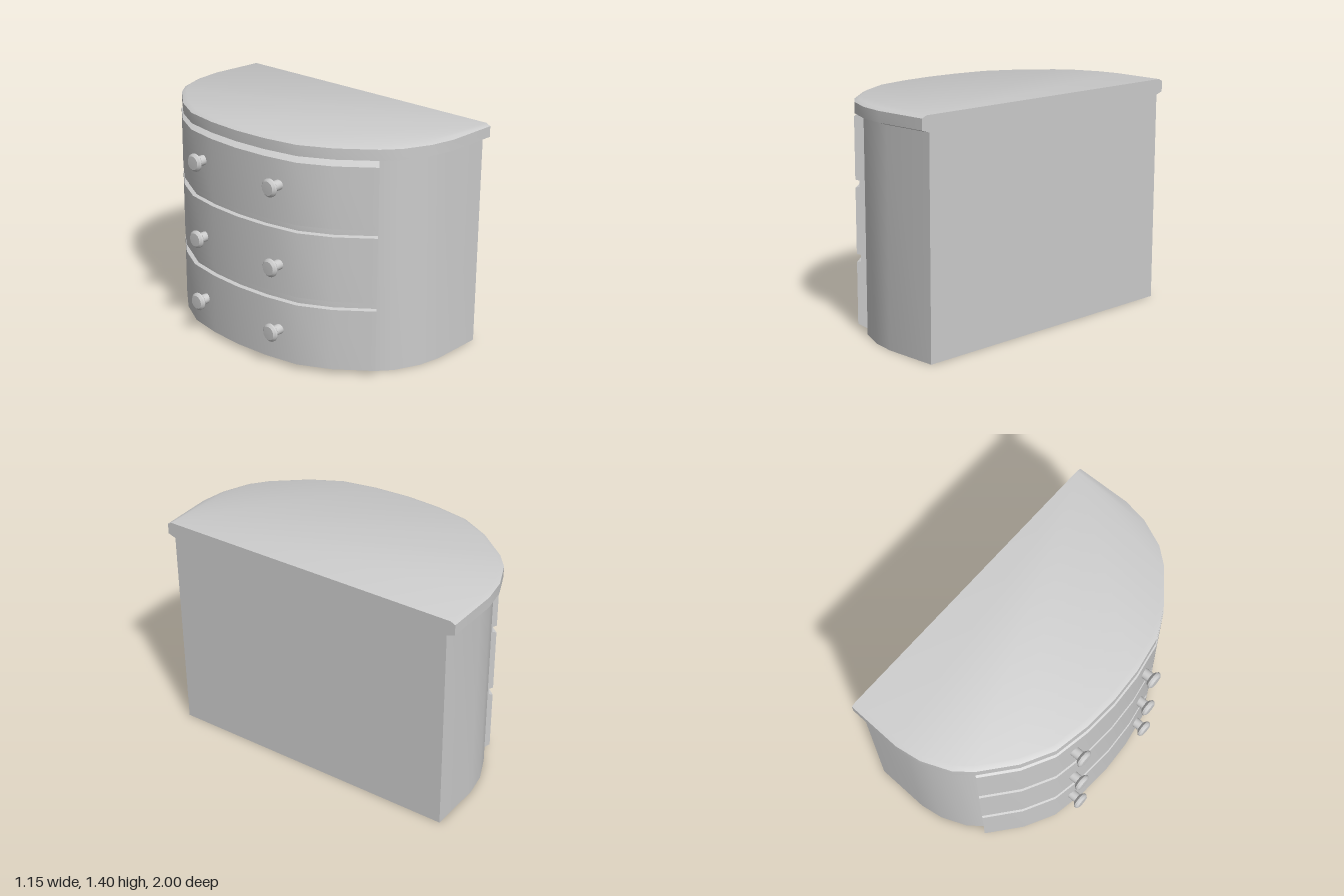
import * as THREE from 'three';
import { toCreasedNormals } from 'three/addons/utils/BufferGeometryUtils.js';

const BACK = 0.575;
// Half of the D-shaped plan as [x, z], from the flat back round to the bowed front
const half = [[BACK, 0.99], [0.23, 1], [0.07, 0.975], [-0.1, 0.905], [-0.2, 0.825],
  [-0.36, 0.63], [-0.46, 0.44], [-0.5, 0.22]];
const plan = [...half, [-0.513, 0], ...half.map(([x, z]) => [x, -z]).reverse()];

// Plan moved inwards along its normals, keeping the back flat
function inset(d) {
  const last = plan.length - 1;
  return plan.map(([x, z], i) => {
    if (i === 0 || i === last) return [x, z - Math.sign(z) * d];
    const [ax, az] = plan[i - 1], [bx, bz] = plan[i + 1];
    const tx = bx - ax, tz = bz - az, len = Math.hypot(tx, tz);
    return [x - (tz / len) * d, z + (tx / len) * d];
  });
}

// Skin between stacked rows of [x, y, z] points, listed bottom to top
function skin(rows, closed) {
  const out = [], n = rows[0].length;
  for (let j = 0; j < rows.length - 1; j++) {
    for (let i = 0; i < (closed ? n : n - 1); i++) {
      const k = (i + 1) % n;
      const a = rows[j][i], b = rows[j][k], c = rows[j + 1][k], d = rows[j + 1][i];
      out.push(...a, ...d, ...c, ...a, ...c, ...b);
    }
  }
  if (closed) {
    const lo = rows[0], hi = rows[rows.length - 1];
    for (let i = 1; i < n - 1; i++) {
      out.push(...lo[0], ...lo[i], ...lo[i + 1], ...hi[0], ...hi[i + 1], ...hi[i]);
    }
  }
  const geo = new THREE.BufferGeometry();
  geo.setAttribute('position', new THREE.Float32BufferAttribute(out, 3));
  return toCreasedNormals(geo, 0.5);
}

const ring = (y, d) => inset(d).map(([x, z]) => [x, y, z]);

export function createModel() {
  const group = new THREE.Group();
  const material = new THREE.MeshStandardMaterial({ color: 0xcccccc });
  const add = (name, geometry, mat = material) => {
    const mesh = new THREE.Mesh(geometry, mat);
    mesh.name = name;
    group.add(mesh);
    return mesh;
  };

  // Carcass and bevelled top
  const bodyInset = 0.05;
  add('body', skin([ring(0, bodyInset), ring(1.31, bodyInset)], true));
  add('top', skin([ring(1.303, 0.045), ring(1.318, 0), ring(1.383, 0), ring(1.397, 0.03)], true));

  // Bowed drawer fronts: [height, projection from the body], grooves between drawers
  const profile = [[0, 0], [0.028, 0.055], [0.408, 0.055], [0.414, 0.03], [0.453, 0.03], [0.459, 0.055],
    [0.858, 0.055], [0.864, 0.03], [0.9, 0.03], [0.906, 0.055], [1.28, 0.055], [1.304, 0]];
  const first = 4, end = plan.length - first;
  const base = inset(bodyInset);
  const rows = profile.map(([y, out]) => {
    const pts = inset(bodyInset - out).slice(first, end);
    return [base[first], ...pts, base[end - 1]].map(([x, z]) => [x, y, z]);
  });
  const panelMaterial = material.clone();
  panelMaterial.side = THREE.DoubleSide;
  add('drawerFronts', skin(rows, false), panelMaterial);

  // Two turned knobs on each drawer
  const knobProfile = [[0.031, 0], [0.031, 0.058], [0.04, 0.062], [0.055, 0.076],
    [0.055, 0.088], [0.042, 0.1], [0, 0.102]].map(([r, h]) => new THREE.Vector2(r, h));
  const knobGeometry = toCreasedNormals(new THREE.LatheGeometry(knobProfile, 16).toNonIndexed(), 0.6);
  for (const y of [0.226, 0.637, 1.125]) {
    for (const z of [-0.31, 0.32]) {
      const knob = add('knob', knobGeometry);
      knob.rotation.z = Math.PI / 2;
      knob.position.set(-0.477, y, z);
    }
  }
  return group;
}
